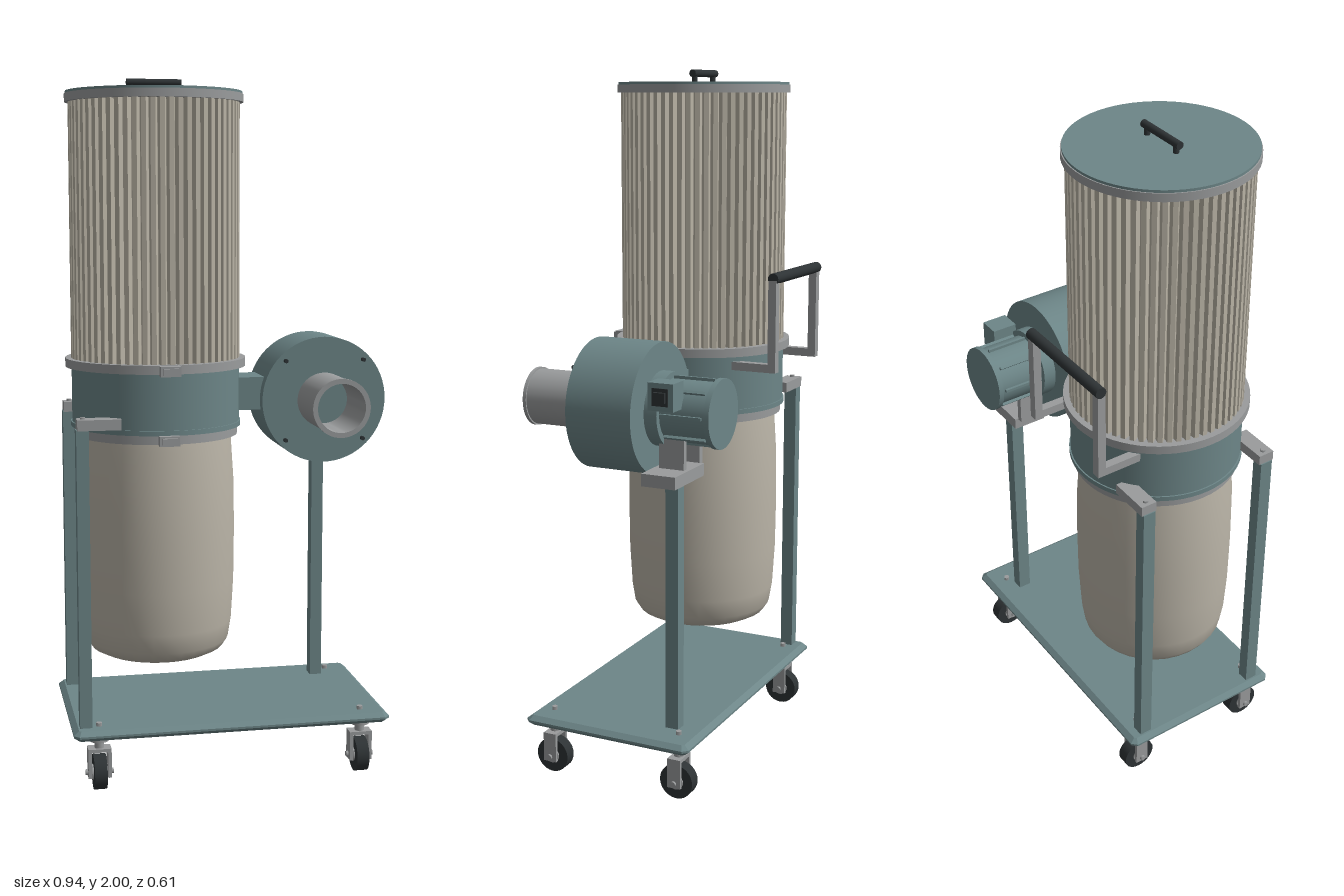
import * as THREE from 'three';
import { toCreasedNormals } from 'three/addons/utils/BufferGeometryUtils.js';

const mat = (color, side = THREE.FrontSide) => new THREE.MeshStandardMaterial({ color, side });

export function createModel() {
  const root = new THREE.Group();
  const teal = mat(0x6d8688), grey = mat(0x9a9c9d), black = mat(0x2e3335);
  const cream = mat(0xb9b3a5), bagMat = mat(0xbbb5a8, THREE.DoubleSide);

  const add = (name, geo, m, x = 0, y = 0, z = 0, parent = root) => {
    const mesh = new THREE.Mesh(geo, m);
    mesh.name = name;
    mesh.position.set(x, y, z);
    parent.add(mesh);
    return mesh;
  };
  const group = (name, x = 0, y = 0, z = 0) => {
    const g = new THREE.Group();
    g.name = name;
    g.position.set(x, y, z);
    root.add(g);
    return g;
  };
  // box given by its min and max on every axis
  const box = (name, m, x0, x1, y0, y1, z0, z1, parent) =>
    add(name, new THREE.BoxGeometry(x1 - x0, y1 - y0, z1 - z0), m,
      (x0 + x1) / 2, (y0 + y1) / 2, (z0 + z1) / 2, parent);
  // upright, z-aligned and x-aligned cylinders between two ends
  const cylY = (name, m, r, y0, y1, x, z, parent, seg = 48) =>
    add(name, new THREE.CylinderGeometry(r, r, y1 - y0, seg), m, x, (y0 + y1) / 2, z, parent);
  const cylZ = (name, m, r, z0, z1, x, y, parent, seg = 48) =>
    add(name, new THREE.CylinderGeometry(r, r, z1 - z0, seg).rotateX(Math.PI / 2), m, x, y, (z0 + z1) / 2, parent);
  const cylX = (name, m, r, x0, x1, y, z, parent, seg = 16) =>
    add(name, new THREE.CylinderGeometry(r, r, x1 - x0, seg).rotateZ(Math.PI / 2), m, (x0 + x1) / 2, y, z, parent);
  const lathe = (pts, seg, crease = 0.6) =>
    toCreasedNormals(new THREE.LatheGeometry(pts.map(p => new THREE.Vector2(...p)), seg), crease);

  // base plate with bevelled edge
  const w = 0.445, d = 0.2425, c = 0.006;
  const plate = new THREE.Shape([[-w + c, -d], [w - c, -d], [w, -d + c], [w, d - c],
    [w - c, d], [-w + c, d], [-w, d - c], [-w, -d + c]].map(p => new THREE.Vector2(...p)));
  const plateGeo = new THREE.ExtrudeGeometry(plate, {
    depth: 0.006, bevelThickness: 0.012, bevelSize: 0.015, bevelSegments: 1,
  }).rotateX(-Math.PI / 2);
  add('basePlate', plateGeo, teal, -0.01, 0.167, 0.007);

  // casters
  for (const x of [-0.395, 0.372]) for (const z of [0.21, -0.19]) {
    const g = group('caster', x, 0, z);
    cylX('tyre', black, 0.05, -0.018, 0.018, 0.05, 0, g, 28);
    cylX('hub', grey, 0.022, -0.022, 0.022, 0.05, 0, g, 20);
    cylX('axle', grey, 0.008, -0.04, 0.04, 0.05, 0, g, 10);
    for (const s of [-1, 1]) {
      const a = s * 0.028;
      box('forkArm', grey, a - 0.005, a + 0.005, 0.036, 0.12, -0.02, 0.02, g);
    }
    box('forkTop', grey, -0.033, 0.033, 0.112, 0.122, -0.02, 0.02, g);
    cylY('stem', grey, 0.014, 0.12, 0.145, 0, 0, g, 16);
    cylY('mountDisc', grey, 0.028, 0.143, 0.156, 0, 0, g, 20);
    cylY('bolt', grey, 0.009, 0.18, 0.195, 0, 0, g, 6);
  }

  // drum posts with brackets
  for (const z of [0.207, -0.193]) {
    box('drumPost', teal, -0.45, -0.415, 0.18, 1.036, z - 0.019, z + 0.019);
    box('drumBracket', grey, -0.447, -0.325, 1.035, 1.065, z - 0.024, z + 0.024);
    cylY('bracketBolt', grey, 0.008, 1.06, 1.071, -0.43, z, root, 6);
  }

  // drum, clamp rings and collection bag
  const cx = -0.196, cz = 0.006;
  cylY('drum', teal, 0.242, 1.025, 1.2, cx, cz, root, 64);
  cylY('upperClampRing', grey, 0.26, 1.19, 1.215, cx, cz, root, 64);
  cylY('drumLowerLip', teal, 0.246, 1.018, 1.032, cx, cz, root, 64);
  cylY('lowerClampRing', grey, 0.236, 0.992, 1.018, cx, cz, root, 64);
  add('collectionBag', lathe([[0, 0.335], [0.1, 0.335], [0.165, 0.347], [0.195, 0.362], [0.21, 0.385], [0.219, 0.44],
    [0.226, 0.56], [0.228, 0.72], [0.226, 0.86], [0.219, 0.97], [0.217, 1.0]], 32, 0.8), bagMat, cx, 0, cz);

  // ring latches
  for (const [y, z] of [[1.2, 0.258], [1.005, 0.236]]) {
    const g = group('ringLatch', cx, y, z);
    box('latchBody', grey, -0.028, 0.028, -0.014, 0.014, 0, 0.034, g);
    box('latchLever', grey, -0.021, 0.021, -0.009, 0.009, 0.032, 0.044, g);
  }

  // pleated filter
  const pleats = 60, outline = [];
  for (let i = 0; i < pleats; i++) {
    for (const [t, r] of [[0, 0.226], [0.22, 0.243], [0.74, 0.243], [0.96, 0.226]]) {
      const a = (i + t) / pleats * Math.PI * 2;
      outline.push(new THREE.Vector2(Math.cos(a) * r, Math.sin(a) * r));
    }
  }
  const pleatGeo = new THREE.ExtrudeGeometry(new THREE.Shape(outline), { depth: 0.73, bevelEnabled: false });
  add('pleatedFilter', pleatGeo.rotateX(-Math.PI / 2), cream, cx, 1.21, cz);

  // lid and its handle
  cylY('lidRim', grey, 0.253, 1.935, 1.958, cx, cz, root, 64);
  cylY('lid', teal, 0.25, 1.94, 1.965, cx, cz, root, 64);
  for (const s of [-1, 1]) cylY('lidHandlePost', black, 0.008, 1.96, 1.988, cx + s * 0.062, cz, root, 12);
  cylX('lidHandle', black, 0.0105, cx - 0.078, cx + 0.078, 1.9895, cz);

  // push handle at the back
  cylX('pushHandleGrip', black, 0.016, -0.366, -0.026, 1.42, -0.291, root, 20);
  for (const x of [-0.353, -0.038]) {
    box('pushHandleUpright', grey, x - 0.0125, x + 0.0125, 1.15, 1.415, -0.301, -0.277);
    box('pushHandleArm', grey, x - 0.0125, x + 0.0125, 1.15, 1.174, -0.28, -0.165);
  }

  // blower housing and duct to the drum
  const bx = 0.283, by = 1.089;
  cylZ('blowerHousing', teal, 0.183, -0.092, 0.105, bx, by, root, 64);
  box('blowerDuct', teal, 0, 0.16, 1.06, 1.155, -0.058, 0.07);
  for (let i = 0; i < 4; i++) {
    const a = Math.PI / 4 + i * Math.PI / 2;
    cylZ('housingBolt', black, 0.006, 0.1, 0.119, bx + Math.cos(a) * 0.163, by + Math.sin(a) * 0.163, root, 8);
  }

  // hollow inlet pipe
  const pipe = lathe([[0.079, 0], [0.079, 0.187], [0.083, 0.187], [0.083, 0.197],
    [0.069, 0.197], [0.069, 0]], 48).rotateX(Math.PI / 2);
  add('inletPipe', pipe, grey, bx, by, 0.104);

  // motor with cooling ribs
  cylZ('motorCollar', teal, 0.104, -0.13, -0.09, bx, by);
  cylZ('motorBody', teal, 0.087, -0.267, -0.13, bx, by);
  cylZ('motorEndCap', teal, 0.097, -0.28, -0.265, bx, by);
  for (let i = 0; i < 8; i++) {
    const a = i * Math.PI / 4 + Math.PI / 2;
    const rib = add('motorRib', new THREE.BoxGeometry(0.014, 0.008, 0.122), teal,
      bx + Math.cos(a) * 0.088, by + Math.sin(a) * 0.088, -0.195);
    rib.rotation.z = a;
  }

  // switch box
  box('switchBox', teal, 0.355, 0.418, 1.11, 1.186, -0.195, -0.12);
  box('switchPlate', black, 0.416, 0.421, 1.124, 1.172, -0.181, -0.134);
  box('switchButton', black, 0.42, 0.431, 1.134, 1.162, -0.175, -0.14);

  // motor stand
  box('motorPost', teal, 0.31, 0.346, 0.18, 0.905, -0.175, -0.136);
  box('motorShelf', grey, 0.24, 0.42, 0.9, 0.935, -0.202, -0.1);
  for (const s of [-1, 1]) {
    const x = bx + s * 0.05;
    box('motorFoot', grey, x - 0.009, x + 0.009, 0.93, 1.03, -0.19, -0.115);
  }

  return root;
}
